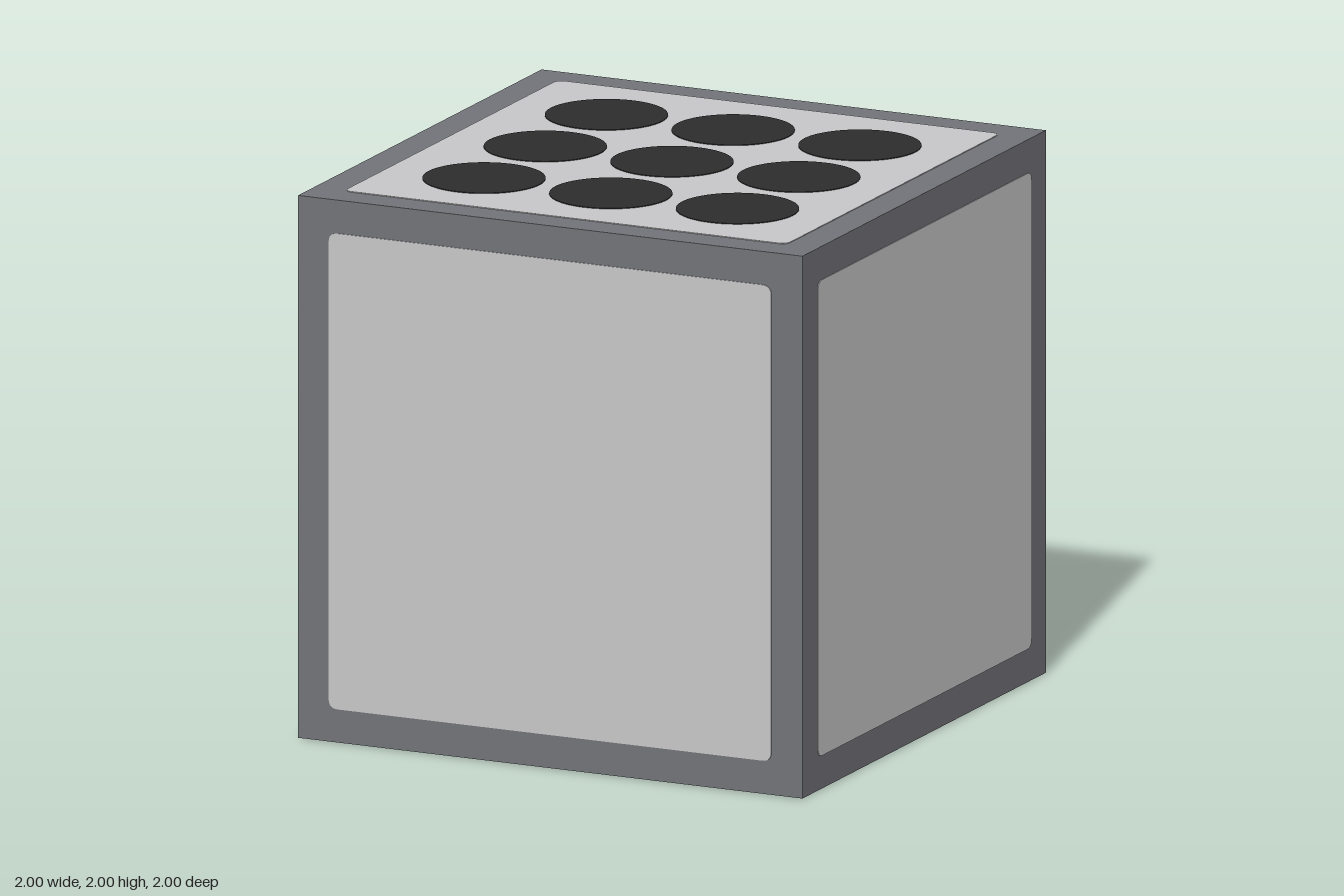
import * as THREE from 'three';

const HALF = 0.995;   // half the cube's edge
const PANEL = 0.873;  // half a panel's edge
const CORNER = 0.035; // panel corner radius

function roundedSquare(h, r) {
  const s = new THREE.Shape();
  s.moveTo(-h + r, -h);
  s.lineTo(h - r, -h);
  s.quadraticCurveTo(h, -h, h, -h + r);
  s.lineTo(h, h - r);
  s.quadraticCurveTo(h, h, h - r, h);
  s.lineTo(-h + r, h);
  s.quadraticCurveTo(-h, h, -h, h - r);
  s.lineTo(-h, -h + r);
  s.quadraticCurveTo(-h, -h, -h + r, -h);
  return s;
}

export function createModel() {
  const frameGrey = new THREE.MeshStandardMaterial({ color: 0x737479 });
  frameGrey.name = 'frame grey';
  const panelGrey = new THREE.MeshStandardMaterial({ color: 0xc8c8ca });
  panelGrey.name = 'panel light grey';
  const spotBlack = new THREE.MeshStandardMaterial({ color: 0x2d2d2d });
  spotBlack.name = 'spot black';

  const group = new THREE.Group();
  group.name = 'spottedCube';
  const add = (name, geometry, material) => {
    const mesh = new THREE.Mesh(geometry, material);
    mesh.name = name;
    group.add(mesh);
    return mesh;
  };

  // Cube body
  add('body', new THREE.BoxGeometry(2 * HALF, 2 * HALF, 2 * HALF), frameGrey).position.y = 1;

  // Thin rounded panel on each of the six faces
  const panelGeometry = new THREE.ExtrudeGeometry(roundedSquare(PANEL, CORNER), {
    depth: 0.005, bevelEnabled: false, curveSegments: 6,
  });
  panelGeometry.translate(0, 0, HALF - 0.002);
  const q = Math.PI / 2;
  const faces = [
    ['frontPanel', 0, 0], ['backPanel', 0, 2 * q], ['leftPanel', 0, q],
    ['rightPanel', 0, -q], ['topPanel', -q, 0], ['bottomPanel', q, 0],
  ];
  for (const [name, rx, ry] of faces) {
    const panel = add(name, panelGeometry, panelGrey);
    panel.rotation.set(rx, ry, 0);
    panel.position.y = 1;
  }

  // Three by three grid of flat round spots on the top
  const spotGeometry = new THREE.CylinderGeometry(0.219, 0.219, 0.006, 64);
  for (let row = -1; row <= 1; row++) {
    for (let col = -1; col <= 1; col++) {
      add('topSpot', spotGeometry, spotBlack).position.set(col * 0.5, 1.998, row * 0.5);
    }
  }
  return group;
}
